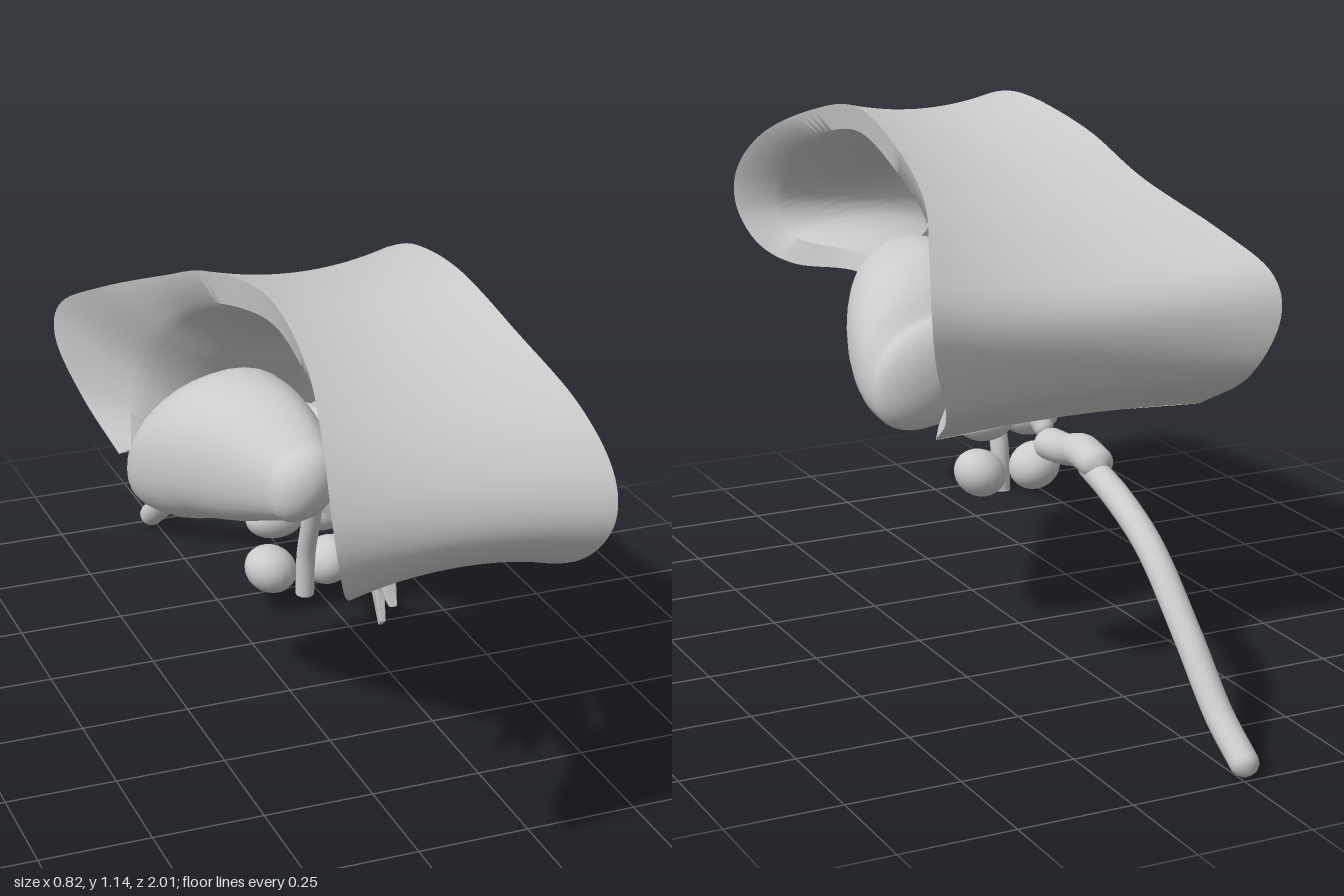
import * as THREE from 'three';
import { toCreasedNormals } from 'three/addons/utils/BufferGeometryUtils.js';

const material = new THREE.MeshStandardMaterial({ color: 0xcccccc, side: THREE.DoubleSide });
const V = (x, y, z) => new THREE.Vector3(x, y, z);

function add(parent, name, geometry) {
  const mesh = new THREE.Mesh(geometry, material);
  mesh.name = name;
  parent.add(mesh);
  return mesh;
}

// Skin a list of closed rings (equal point counts) and cap both ends
function loft(rings, crease) {
  const n = rings[0].length, pos = [], index = [];
  rings.forEach((r) => r.forEach((p) => pos.push(p.x, p.y, p.z)));
  for (let i = 0; i < rings.length - 1; i++) {
    for (let j = 0; j < n; j++) {
      const a = i * n + j, b = i * n + (j + 1) % n;
      index.push(a, b, b + n, a, b + n, a + n);
    }
  }
  [0, rings.length - 1].forEach((i) => {
    const c = rings[i].reduce((s, p) => s.add(p), V(0, 0, 0)).divideScalar(n);
    const k = pos.length / 3;
    pos.push(c.x, c.y, c.z);
    for (let j = 0; j < n; j++) {
      const a = i * n + j, b = i * n + (j + 1) % n;
      if (i) index.push(a, b, k); else index.push(b, a, k);
    }
  });
  const g = new THREE.BufferGeometry();
  g.setAttribute('position', new THREE.Float32BufferAttribute(pos, 3));
  g.setIndex(index);
  if (crease) return toCreasedNormals(g, crease);
  g.computeVertexNormals();
  return g;
}

// Round tube through points, radius interpolated between the given radii
function taperTube(points, radii, squash = 1) {
  const curve = new THREE.CatmullRomCurve3(points.map((p) => V(...p)));
  const steps = 60, sides = 20, rings = [];
  const ring = (c, t, r) => {
    const side = V(1, 0, 0), up = V().crossVectors(t, side).normalize();
    return Array.from({ length: sides }, (_, j) => {
      const a = (j / sides) * Math.PI * 2;
      return c.clone().addScaledVector(side, r * squash * Math.cos(a)).addScaledVector(up, r * Math.sin(a));
    });
  };
  for (let i = 0; i <= steps; i++) {
    const u = i / steps, f = u * (radii.length - 1), k = Math.min(Math.floor(f), radii.length - 2);
    const r = THREE.MathUtils.lerp(radii[k], radii[k + 1], f - k);
    const c = curve.getPoint(u), t = curve.getTangent(u);
    // rounded ends
    if (i === 0) for (const e of [1, 0.8, 0.5, 0.25]) rings.push(ring(c.clone().addScaledVector(t, -r * e), t, r * Math.sqrt(1 - e * e)));
    rings.push(ring(c, t, r));
    if (i === steps) for (const e of [0.25, 0.5, 0.8, 1]) rings.push(ring(c.clone().addScaledVector(t, r * e), t, r * Math.sqrt(1 - e * e)));
  }
  return loft(rings);
}

// Arched band: outer rim z,y | inner rim z,y | inner midline z,y | outer, inner half width
const bandRows = [
  [0.56, 0.65, 0.57, 0.68, 0.57, 0.68, 0.04, 0.035],
  [0.66, 0.68, 0.66, 0.72, 0.66, 0.72, 0.06, 0.05],
  [0.75, 0.69, 0.75, 0.735, 0.75, 0.74, 0.1, 0.085],
  [0.86, 0.69, 0.84, 0.745, 0.83, 0.765, 0.19, 0.16],
  [0.95, 0.73, 0.9, 0.77, 0.87, 0.8, 0.25, 0.2],
  [1.0, 0.82, 0.92, 0.83, 0.87, 0.85, 0.285, 0.215],
  [0.97, 0.92, 0.88, 0.91, 0.83, 0.9, 0.29, 0.22],
  [0.86, 1.02, 0.78, 0.99, 0.74, 0.95, 0.265, 0.215],
  [0.67, 1.1, 0.62, 1.055, 0.6, 1.0, 0.225, 0.205],
  [0.42, 1.15, 0.42, 1.09, 0.42, 1.03, 0.21, 0.2],
  [0.14, 1.11, 0.18, 1.05, 0.2, 0.98, 0.235, 0.22],
  [-0.08, 1.03, -0.03, 0.97, 0.01, 0.89, 0.265, 0.235],
  [-0.28, 0.945, -0.17, 0.87, -0.08, 0.78, 0.345, 0.265],
  [-0.41, 0.87, -0.24, 0.79, -0.13, 0.71, 0.4, 0.275],
  [-0.44, 0.77, -0.26, 0.72, -0.17, 0.65, 0.405, 0.28],
  [-0.39, 0.64, -0.25, 0.64, -0.2, 0.6, 0.36, 0.29],
  [-0.25, 0.55, -0.22, 0.57, -0.22, 0.57, 0.32, 0.3],
];

function bandGeometry() {
  const track = (f) => new THREE.CatmullRomCurve3(bandRows.map(f), false, 'catmullrom', 0.5);
  const outer = track((r) => V(r[6], r[1], r[0]));
  const inner = track((r) => V(r[7], r[3], r[2]));
  const mid = track((r) => V(0, r[5], r[4]));
  const steps = 120, across = 20, rings = [];
  for (let i = 0; i <= steps; i++) {
    const u = i / steps, o = outer.getPoint(u), n = inner.getPoint(u), m = mid.getPoint(u);
    const oMid = o.clone().lerp(n, 0.45);
    const line = (centre, edge) => Array.from({ length: across + 1 }, (_, j) => {
      const v = -1 + (2 * j) / across, p = centre.clone().lerp(edge, v * v);
      p.x = v * edge.x;
      return p;
    });
    rings.push([...line(oMid, o), ...line(m, n).reverse()]);
  }
  return loft(rings, 0.8);
}

// Egg-shaped lobe: z, centre x, centre y, radius x, radius y
const lobeRows = [
  [0.42, 0.135, 0.73, 0.075, 0.08],
  [0.36, 0.148, 0.733, 0.1, 0.105],
  [0.28, 0.167, 0.732, 0.124, 0.135],
  [0.19, 0.187, 0.722, 0.147, 0.152],
  [0.1, 0.204, 0.7, 0.161, 0.164],
  [0.02, 0.218, 0.668, 0.16, 0.148],
  [-0.03, 0.225, 0.636, 0.144, 0.122],
];

function lobeGeometry(s) {
  const centre = new THREE.CatmullRomCurve3(lobeRows.map((r) => V(r[1], r[2], r[0])));
  const radius = new THREE.CatmullRomCurve3(lobeRows.map((r) => V(r[3], r[4], r[0])));
  const rings = [], dome = 12;
  const soft = (v) => Math.sign(v) * Math.abs(v) ** 0.9;
  // u along the lobe, k shrinks the section, dz pushes the domed tips outwards
  const ring = (u, k, dz) => {
    const c = centre.getPoint(u), r = radius.getPoint(u);
    rings.push(Array.from({ length: 36 }, (_, j) => {
      const a = (j / 36) * Math.PI * 2, dx = k * r.x * soft(Math.cos(a));
      return V(s * c.x + dx, c.y + k * r.y * soft(Math.sin(a)) - 0.2 * s * dx, c.z + dz);
    }));
  };
  for (let i = 0; i < dome; i++) {
    const a = (i / dome) * Math.PI / 2;
    ring(1, Math.sin(a), -0.063 * Math.cos(a));
  }
  for (let i = 0; i <= 40; i++) ring(1 - i / 40, 1, 0);
  for (let i = dome - 1; i >= 0; i--) {
    const a = (i / dome) * Math.PI / 2;
    ring(0, Math.sin(a), 0.063 * Math.cos(a));
  }
  return loft(rings);
}

// Thin middle plate with a forked front edge, thinning downwards
function plateGeometry() {
  const outline = [
    [0.585, 0.685], [0.52, 0.73], [0.45, 0.75], [0.2, 0.74], [0.02, 0.66], [-0.08, 0.58], [-0.1, 0.53], [0.0, 0.55],
    [0.15, 0.57], [0.31, 0.575], [0.4, 0.54], [0.46, 0.505], [0.5, 0.49], [0.53, 0.435], [0.54, 0.445], [0.515, 0.52],
    [0.55, 0.52], [0.59, 0.505], [0.55, 0.57], [0.55, 0.65],
  ];
  const shape = new THREE.Shape(outline.map(([z, y]) => new THREE.Vector2(-z, y)));
  const g = new THREE.ExtrudeGeometry(shape, { depth: 0.03, bevelThickness: 0.01, bevelSize: 0.004, bevelSegments: 3 });
  g.rotateY(Math.PI / 2).translate(-0.015, 0, 0);
  const p = g.attributes.position;
  for (let i = 0; i < p.count; i++) {
    p.setX(i, p.getX(i) * (0.25 + 1.3 * THREE.MathUtils.smoothstep(p.getY(i), 0.46, 0.68)));
  }
  return toCreasedNormals(g, 0.7);
}

export function createModel() {
  const model = new THREE.Group();
  model.name = 'anatomyModel';

  add(model, 'archedBand', bandGeometry());
  add(model, 'middlePlate', plateGeometry());

  for (const s of [1, -1]) {
    const side = s > 0 ? 'left' : 'right';
    add(model, side + 'Lobe', lobeGeometry(s));

    // small paired bodies under the lobes
    const upper = add(model, side + 'UpperBody', new THREE.SphereGeometry(1, 24, 16));
    upper.scale.set(0.068, 0.046, 0.046);
    upper.position.set(0.057 * s, 0.48, 0.056);
    const lower = add(model, side + 'LowerBody', new THREE.SphereGeometry(1, 24, 16));
    lower.scale.set(0.06, 0.053, 0.06);
    lower.position.set(0.069 * s, 0.358, 0.06);
    lower.rotation.z = 0.5 * s;

    // side prongs and the strands between the lobes
    add(model, side + 'Prong', taperTube([[0.025 * s, 0.66, 0.43], [0.034 * s, 0.6, 0.45], [0.038 * s, 0.55, 0.46]], [0.022, 0.013, 0.004]));
    add(model, side + 'Strand', taperTube([[0.02 * s, 0.54, 0.12], [0.045 * s, 0.545, 0.09], [0.07 * s, 0.56, 0.06]], [0.014, 0.014, 0.012]));
    add(model, side + 'Ridge', taperTube([[0.02 * s, 0.78, 0.45], [0.035 * s, 0.8, 0.25], [0.04 * s, 0.72, 0.05], [0.03 * s, 0.6, -0.06]], [0.01, 0.018, 0.018, 0.018]));
  }

  // flat-ended stalk
  const stalk = new THREE.CatmullRomCurve3([V(0, 0.56, 0.15), V(0, 0.48, 0.125), V(0, 0.4, 0.1), V(0, 0.3, 0.093)]);
  add(model, 'stalk', new THREE.TubeGeometry(stalk, 24, 0.021, 16));
  const stalkEnd = add(model, 'stalkEnd', new THREE.CircleGeometry(0.021, 16));
  stalkEnd.position.set(0, 0.3, 0.093);
  stalkEnd.rotation.x = Math.PI / 2;

  // narrow neck, thicker chamber and long tail
  add(model, 'neck', taperTube([[0, 0.6, -0.03], [0, 0.55, -0.08], [0, 0.505, -0.12]], [0.04, 0.04, 0.025], 0.9));
  add(model, 'chamber', taperTube([[0, 0.475, -0.16], [0, 0.482, -0.23], [0, 0.498, -0.3], [0, 0.49, -0.365]], [0.036, 0.034, 0.037, 0.035], 1.1));
  add(model, 'tail', taperTube(
    [[0, 0.475, -0.34], [0.003, 0.445, -0.46], [0.003, 0.375, -0.61], [0, 0.235, -0.765], [-0.006, 0.105, -0.885], [-0.012, 0.035, -0.976]],
    [0.028, 0.03, 0.03, 0.03, 0.03, 0.03]));

  return model;
}
